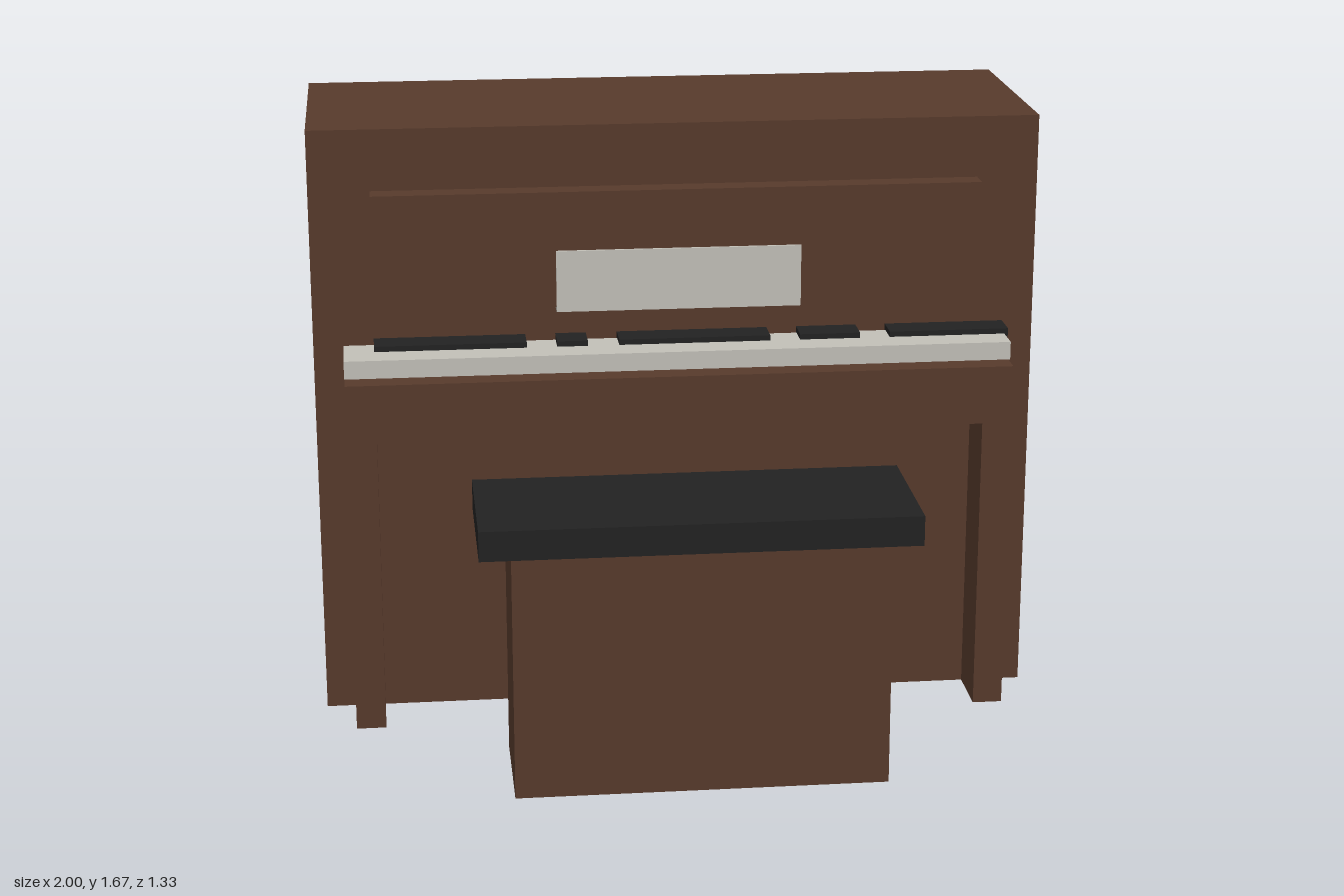
import * as THREE from 'three';

export function createModel() {
  const wood = new THREE.MeshStandardMaterial({ color: 0x573a2c });
  wood.name = 'brown wood';
  const black = new THREE.MeshStandardMaterial({ color: 0x222222 });
  black.name = 'black';
  const ivory = new THREE.MeshStandardMaterial({ color: 0xc2c0b8 });
  ivory.name = 'ivory';

  const model = new THREE.Group();
  model.name = 'uprightPiano';

  // Box from its min and max along each axis
  function box(name, material, [x0, x1], [y0, y1], [z0, z1], parent = model) {
    const mesh = new THREE.Mesh(new THREE.BoxGeometry(x1 - x0, y1 - y0, z1 - z0), material);
    mesh.position.set((x0 + x1) / 2, (y0 + y1) / 2, (z0 + z1) / 2);
    mesh.name = name;
    parent.add(mesh);
    return mesh;
  }

  // Cabinet with raised front panel and music sheet
  box('cabinet', wood, [-1, 1], [0, 1.667], [-0.667, 0]);
  box('frontPanel', wood, [-0.833, 0.83], [1.18, 1.5], [0.01, 0.075]);
  box('musicSheet', ivory, [-0.337, 0.333], [1.168, 1.338], [0, 0.083]);

  // Arch under the keyboard: one extruded outline of two legs and a beam
  const arch = new THREE.Shape([
    [-0.917, 0], [-0.835, 0], [-0.835, 0.837], [0.833, 0.837],
    [0.833, 0], [0.915, 0], [0.915, 1], [-0.917, 1],
  ].map(([x, y]) => new THREE.Vector2(x, y)));
  const keyBed = new THREE.Mesh(
    new THREE.ExtrudeGeometry(arch, { depth: 0.167, bevelEnabled: false }), wood);
  keyBed.name = 'keyBedAndLegs';
  model.add(keyBed);

  // Keyboard
  const keyboard = new THREE.Group();
  keyboard.name = 'keyboard';
  model.add(keyboard);
  box('whiteKeys', ivory, [-0.917, 0.905], [1.02, 1.07], [0.013, 0.167], keyboard);
  const blackRuns = [[-0.835, -0.42], [-0.337, -0.253], [-0.167, 0.25], [0.333, 0.5], [0.583, 0.915]];
  for (const run of blackRuns) box('blackKeys', black, run, [1, 1.085], [0, 0.083], keyboard);

  // Bench
  const bench = new THREE.Group();
  bench.name = 'bench';
  model.add(bench);
  box('benchBase', wood, [-0.5, 0.5], [0, 0.67], [0.333, 0.667], bench);
  box('benchSeat', black, [-0.583, 0.58], [0.67, 0.752], [0.25, 0.667], bench);

  return model;
}
